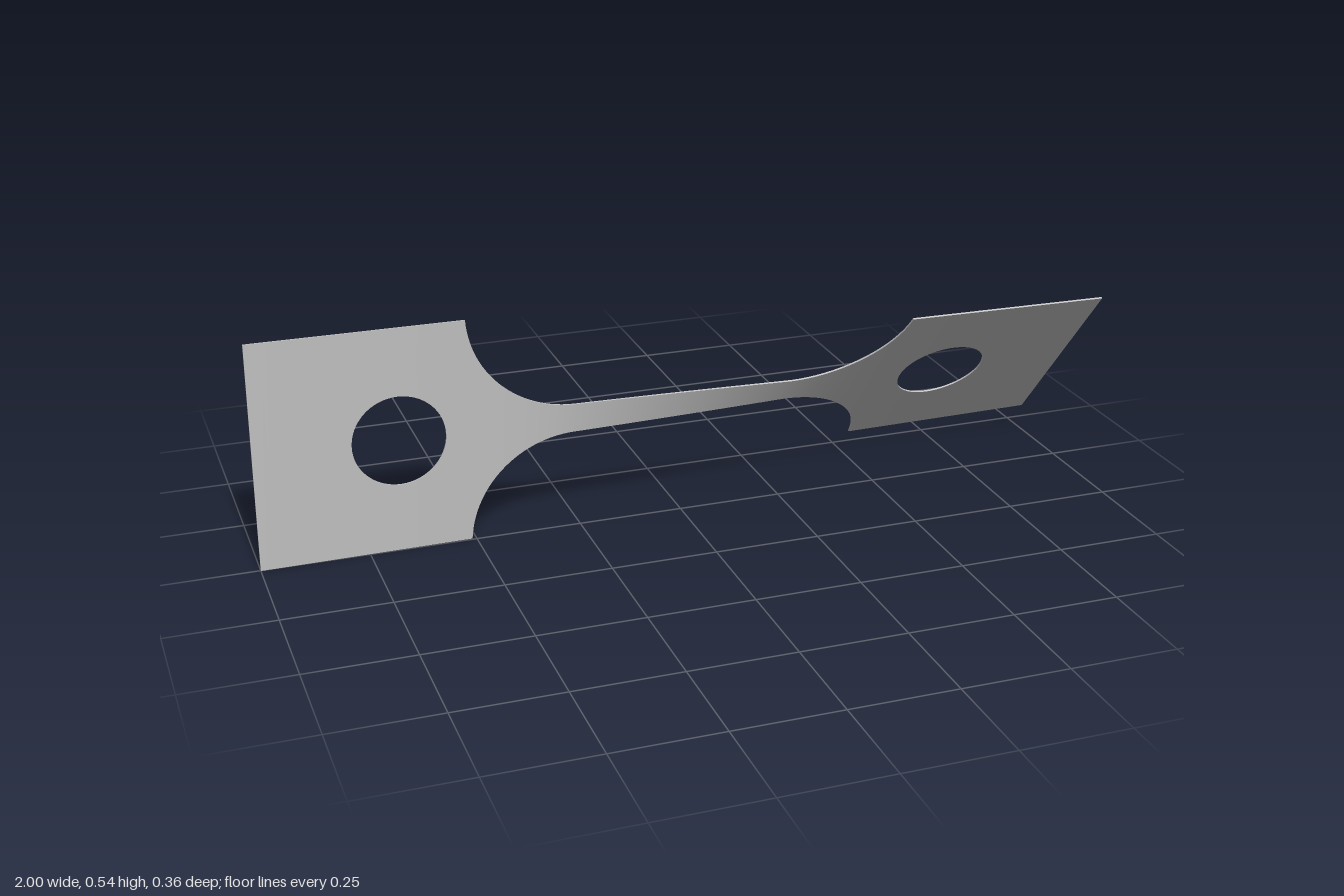
import * as THREE from 'three';
import { mergeGeometries } from 'three/addons/utils/BufferGeometryUtils.js';

const CENTER_Y = 0.271, PLATE = 0.271, NECK = 0.036, THICK = 0.004;
const SHOULDER = 0.51, NECK_END = 0.26, FILLET = 0.25;
const HOLE_X = 0.67, HOLE_R = 0.108;
const TWIST = THREE.MathUtils.degToRad(40.8);

// half height of the strip along its length: plate, round fillet, slim neck
function halfHeight(x) {
  const a = Math.abs(x);
  if (a >= SHOULDER) return PLATE;
  if (a <= NECK_END) return NECK;
  const d = a - NECK_END;
  return Math.min(PLATE, NECK + FILLET - Math.sqrt(Math.max(0, FILLET * FILLET - d * d)));
}

// accumulated twist: slim sections turn more than wide ones
const STEPS = 800;
const turn = [0];
for (let i = 0; i < STEPS; i++) {
  turn.push(turn[i] + Math.pow(halfHeight(-1 + (2 * (i + 0.5)) / STEPS), -1.5));
}
function angleAt(x) {
  const s = THREE.MathUtils.clamp(((x + 1) / 2) * STEPS, 0, STEPS);
  const i = Math.min(STEPS - 1, Math.floor(s));
  return (TWIST * THREE.MathUtils.lerp(turn[i], turn[i + 1], s - i)) / turn[STEPS];
}

// a twisted slab between two height curves; hidden inner end faces are left out
function band(x0, x1, n, low, high, ease = (t) => t) {
  const geo = new THREE.BoxGeometry(1, 1, 1, n, 1, 1);
  const p = geo.attributes.position;
  for (let i = 0; i < p.count; i++) {
    const x = THREE.MathUtils.lerp(x0, x1, ease(p.getX(i) + 0.5));
    const y = THREE.MathUtils.lerp(low(x), high(x), p.getY(i) + 0.5);
    const z = p.getZ(i) * THICK;
    const a = angleAt(x), c = Math.cos(a), s = Math.sin(a);
    p.setXYZ(i, x, CENTER_Y + y * c - z * s, y * s + z * c);
  }
  const index = Array.from(geo.index.array);
  geo.setIndex([
    ...(x1 === 1 ? index.slice(0, 6) : []),
    ...(x0 === -1 ? index.slice(6, 12) : []),
    ...index.slice(12),
  ]);
  geo.clearGroups();
  geo.computeVertexNormals();
  return geo;
}

const top = halfHeight;
const bottom = (x) => -halfHeight(x);
const cosine = (t) => (1 - Math.cos(Math.PI * t)) / 2;

// square end plate with a round hole
function plate(side) {
  const cx = side * HOLE_X;
  const rim = (x) => Math.sqrt(Math.max(0, HOLE_R ** 2 - (x - cx) ** 2));
  const [x0, x1] = side < 0 ? [-1, -SHOULDER] : [SHOULDER, 1];
  return mergeGeometries([
    band(x0, cx - HOLE_R, 6, bottom, top),
    band(cx - HOLE_R, cx + HOLE_R, 32, rim, top, cosine),
    band(cx - HOLE_R, cx + HOLE_R, 32, bottom, (x) => -rim(x), cosine),
    band(cx + HOLE_R, x1, 6, bottom, top),
  ]);
}

export function createModel() {
  const model = new THREE.Group();
  model.name = 'twistedTestStrip';
  const steel = new THREE.MeshStandardMaterial({ color: 0xbfbfbf });
  steel.name = 'steelGrey';

  const add = (name, geo) => {
    const mesh = new THREE.Mesh(geo, steel);
    mesh.name = name;
    model.add(mesh);
  };

  add('rightPlate', plate(-1));
  add('leftPlate', plate(1));

  // fillets, with stations packed toward the steep shoulder
  const quarter = (t) => Math.sin((Math.PI / 2) * t);
  add('rightFillet', band(-SHOULDER, -NECK_END, 28, bottom, top, (t) => 1 - quarter(1 - t)));
  add('leftFillet', band(NECK_END, SHOULDER, 28, bottom, top, quarter));

  add('neck', band(-NECK_END, NECK_END, 40, bottom, top));
  return model;
}
